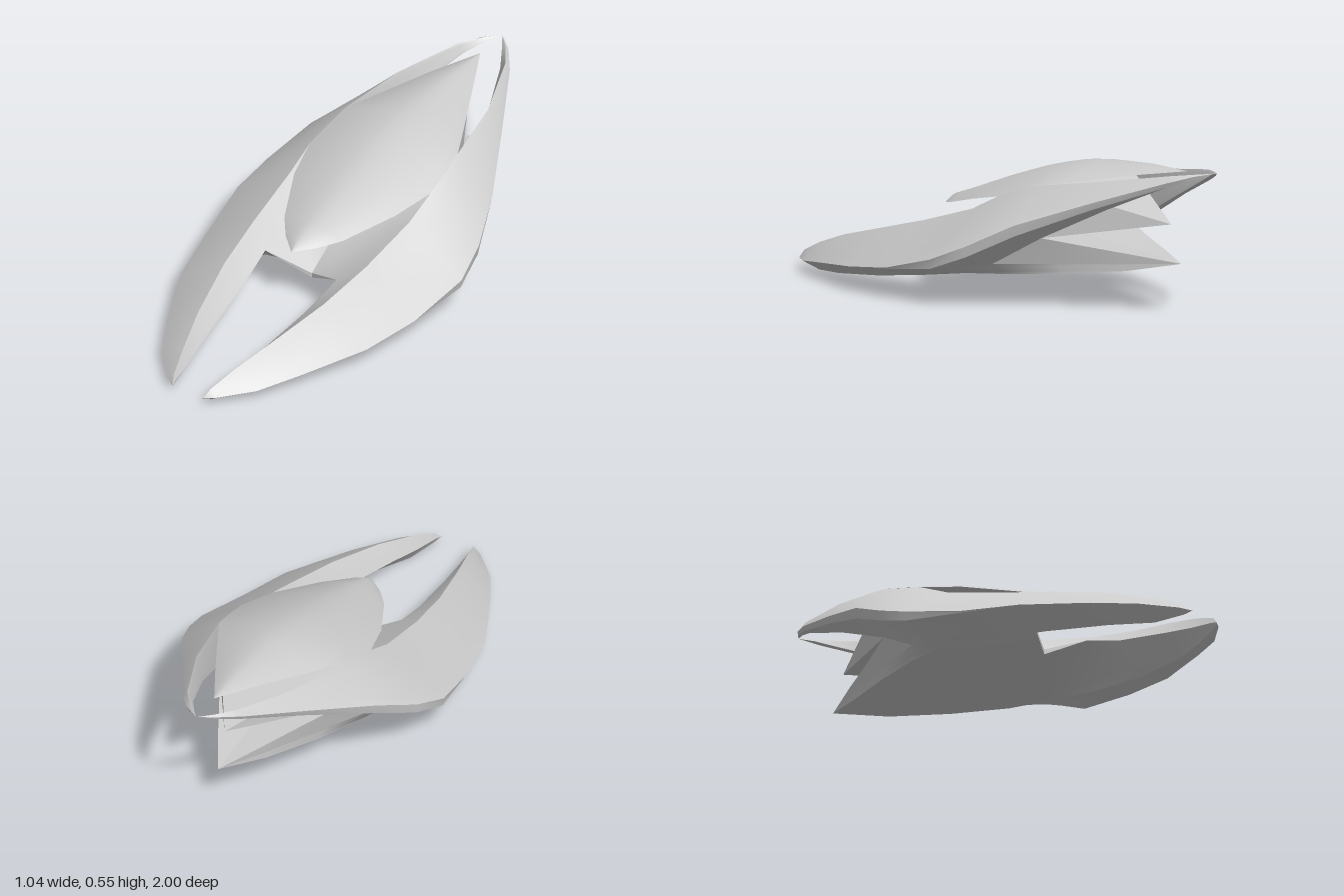
import * as THREE from 'three';

const material = new THREE.MeshStandardMaterial({ color: 0xcccccc, side: THREE.DoubleSide });

// Smooth sheet through rows of points
function grid(name, pos, rows, row, side = 1) {
  const index = [];
  for (let i = 0; i < rows - 1; i++) for (let j = 0; j < row - 1; j++) {
    const k = i * row + j, n = k + row;
    if (side > 0) index.push(k, k + 1, n, k + 1, n + 1, n);
    else index.push(k, n, k + 1, k + 1, n, n + 1);
  }
  const g = new THREE.BufferGeometry();
  g.setAttribute('position', new THREE.Float32BufferAttribute(pos, 3));
  g.setIndex(index);
  g.computeVertexNormals();
  const mesh = new THREE.Mesh(g, material);
  mesh.name = name;
  return mesh;
}

// Skin between two edge lines with matching stations; bulge lifts the middle
function skin(name, a, b, side, steps = 4, bulge = 0) {
  const pos = [];
  a.forEach((p, i) => {
    const q = b[i];
    const width = Math.min(1, Math.hypot(p[0] - q[0], p[1] - q[1], p[2] - q[2]) / 0.2);
    for (let j = 0; j <= steps; j++) {
      const t = j / steps;
      pos.push(side * (p[0] + (q[0] - p[0]) * t),
        p[1] + (q[1] - p[1]) * t + bulge * 4 * t * (1 - t) * width,
        p[2] + (q[2] - p[2]) * t);
    }
  });
  return grid(name, pos, a.length, steps + 1, side);
}

// Edge lines of the left half, front to back
const nose = [0.07, 0.027, 1], tail = [0, 0.54, -1];
const finTip = [0, 0.325, -0.78], armTip = [0, 0.18, -0.83];
const root = [0.32, 0.15, -0.17], fork = [0.26, 0.26, -0.36];

const rim = [nose, [0.115, 0.033, 0.97], [0.22, 0.045, 0.86], [0.31, 0.065, 0.7], [0.43, 0.09, 0.45],
  [0.485, 0.115, 0.22], [0.52, 0.175, -0.03], [0.49, 0.235, -0.18], [0.42, 0.325, -0.36],
  [0.275, 0.42, -0.62], [0.13, 0.505, -0.87], [0.065, 0.53, -0.95], tail];
const rimLow = [...rim.slice(0, 5), [0.48, 0.11, 0.22], [0.515, 0.14, -0.03], [0.485, 0.195, -0.18],
  [0.41, 0.285, -0.36], [0.265, 0.395, -0.62], [0.12, 0.49, -0.87], [0.06, 0.52, -0.95], tail];
const crest = [nose, [0.085, 0.06, 0.97], [0.12, 0.105, 0.86], [0.17, 0.155, 0.7], [0.23, 0.215, 0.45],
  [0.26, 0.27, 0.22], [0.277, 0.34, -0.03], [0.28, 0.4, -0.16], [0.26, 0.46, -0.36], [0.21, 0.495, -0.62],
  [0.11, 0.53, -0.87], [0.05, 0.537, -0.95], tail];
const inner = [nose, [0.075, 0.037, 0.97], [0.09, 0.055, 0.86], [0.115, 0.09, 0.7],
  [0.145, 0.145, 0.45], [0.165, 0.205, 0.28]];
const bottom = [nose, [0.085, 0.014, 0.97], [0.125, 0, 0.86], [0.2, 0.012, 0.7], [0.27, 0.037, 0.45],
  [0.3, 0.065, 0.22], [0.31, 0.1, -0.03], [0.28, 0.11, -0.2], [0.2, 0.125, -0.42], [0.1, 0.145, -0.64], armTip];
const vault = [...inner, [0, 0.11, 0.21], [0, 0.15, -0.05], [0, 0.165, -0.38], [0, 0.172, -0.62], armTip];
const armCrease = [root, [0.21, 0.16, -0.4], [0.11, 0.17, -0.62], armTip];
const armUpper = [fork, [0.18, 0.235, -0.5], [0.09, 0.208, -0.67], armTip];
const armRidge = [[0, 0.25, -0.36], [0, 0.225, -0.5], [0, 0.203, -0.67], armTip];
const hookLow = [fork, [0.185, 0.385, -0.62], [0.085, 0.495, -0.87], [0.035, 0.527, -0.95], tail];
const lip = [0, 0.13, 0.21], frontApex = [0, 0.4, -0.16], rearApex = [0, 0.46, -0.36];

// Canopy ridge (height, depth) and the edge point of each station
const ridge = [[0.298, 0.34], [0.335, 0.29], [0.365, 0.2], [0.435, 0], [0.485, -0.16], [0.51, -0.26],
  [0.53, -0.36], [0.54, -0.46], [0.545, -0.66], [0.535, -0.86]];
const edge = [[0, 0.298, 0.34], [0.07, 0.31, 0.28], [0.135, 0.325, 0.2], [0.235, 0.37, 0], [0.28, 0.4, -0.16],
  [0.272, 0.43, -0.26], [0.26, 0.46, -0.36], [0.21, 0.475, -0.46], [0.107, 0.51, -0.66], [0, 0.535, -0.86]];

function canopy() {
  const pos = [], half = 6;
  ridge.forEach(([y, z], i) => {
    const [ex, ey, ez] = edge[i];
    for (let j = -half; j <= half; j++) {
      const t = Math.abs(j) / half;
      pos.push(ex * j / half, y + (ey - y) * t ** 1.6, z + (ez - z) * t);
    }
  });
  return grid('canopy', pos, ridge.length, half * 2 + 1);
}

export function createModel() {
  const model = new THREE.Group();
  model.name = 'clawShip';
  model.add(canopy());
  const middle = edge.map(([, y, z]) => [0, y, z]);

  for (const side of [1, -1]) {
    const wing = new THREE.Group();
    wing.name = side > 0 ? 'leftWing' : 'rightWing';
    wing.add(
      // Outer shell from prong to rear hook
      skin('wingTop', crest, rim, side, 5, 0.005),
      skin('wingRim', rim.slice(4), rimLow.slice(4), side, 1),
      skin('wingUnderside', [...rimLow.slice(0, 7), ...armCrease], bottom, side),
      // Rear hook
      skin('hookUnderside', rimLow.slice(6), [root, root, ...hookLow], side),
      skin('hookInnerWall', hookLow, crest.slice(8), side),
      // Lower arm reaching to the rear point, vaulted below
      skin('vault', bottom, vault, side),
      skin('armOuterFace', armCrease, armUpper, side, 2),
      skin('armTop', armUpper, armRidge, side, 2),
      // Prong wall running into the floor below the canopy
      skin('prongWallAndFloor', [...inner, lip, [0, 0.24, 0.04], frontApex],
        [...crest.slice(0, 8), crest[7]], side, 5),
      skin('floorLip', [inner[5], lip], [inner[5], vault[6]], side, 1),
      // Closed undersides of the canopy, front and rear
      skin('canopyFrontUnderside', edge.slice(0, 5), middle.slice(0, 5), side, 2),
      skin('canopyRearUnderside', edge.slice(6), middle.slice(6), side, 2),
      // Middle rear fin
      skin('finTop', [crest[8], finTip], [rearApex, finTip], side),
      skin('finSide', [crest[8], finTip], [fork, finTip], side),
      skin('finUnderside', [fork, finTip], [armRidge[0], finTip], side),
    );
    model.add(wing);
  }
  return model;
}
